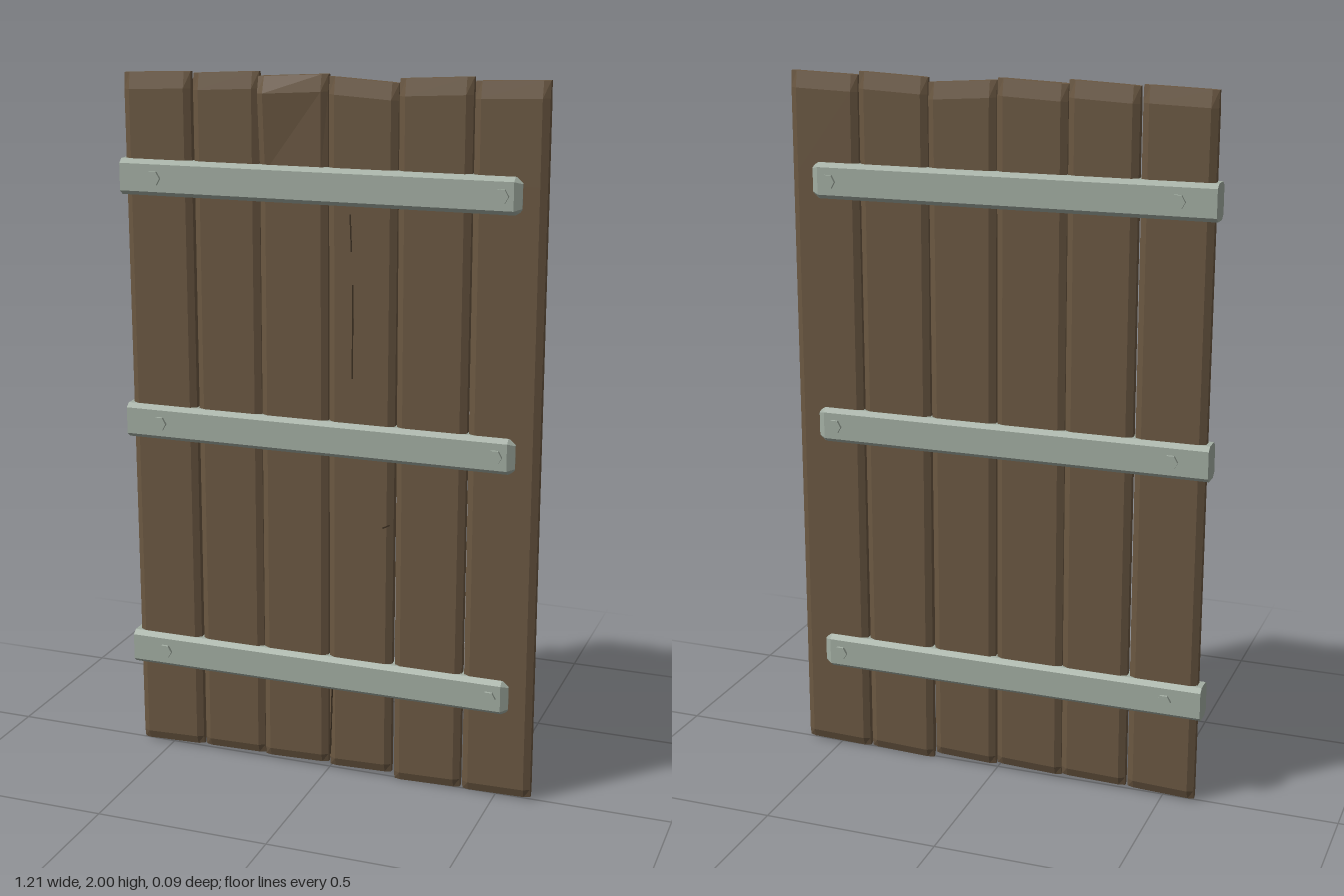
import * as THREE from 'three';

const wood = new THREE.MeshStandardMaterial({ color: 0x6b5842, flatShading: true });
const crackWood = new THREE.MeshStandardMaterial({ color: 0x3a2e20, flatShading: true });
const iron = new THREE.MeshStandardMaterial({ color: 0xa3aea3, flatShading: true });

// Chamfered rectangle, counter-clockwise, as [a, b] pairs
function octagon(w, t, cw, ct) {
  return [
    [w, -t + ct], [w, t - ct], [w - cw, t], [-w + cw, t],
    [-w, t - ct], [-w, -t + ct], [-w + cw, -t], [w - cw, -t],
  ];
}

// Skin a row of equal-length rings and cap both ends
function loft(rings) {
  const pos = [];
  const tri = (...pts) => pts.forEach((p) => pos.push(...p));
  const n = rings[0].length;
  for (let r = 0; r < rings.length - 1; r++) {
    const p = rings[r], q = rings[r + 1];
    for (let i = 0; i < n; i++) {
      const j = (i + 1) % n;
      tri(p[i], p[j], q[j]);
      tri(p[i], q[j], q[i]);
    }
  }
  const first = rings[0], last = rings[rings.length - 1];
  for (let i = 1; i < n - 1; i++) {
    tri(first[0], first[i + 1], first[i]);
    tri(last[0], last[i], last[i + 1]);
  }
  const g = new THREE.BufferGeometry();
  g.setAttribute('position', new THREE.Float32BufferAttribute(pos, 3));
  g.computeVertexNormals();
  return g;
}

// Upright board with worn ends; bulge pushes its upper front left corner forward
function plankGeometry({ bottom, top, y0, y1, bulge = 0 }) {
  const T = 0.02;
  // [height fraction from the nearer end, thickness, bulge amount]
  const rows = [
    [0, 0, 0.011, 0], [0, 0.025, T, 0], [0, 1.72, T, 0],
    [1, -0.045, T, 1], [1, 0, 0.011, 0.6],
  ];
  return loft(rows.map(([end, dy, t, k]) => {
    const f = end ? 1 : dy / 2;
    const xl = THREE.MathUtils.lerp(bottom[0], top[0], f);
    const xr = THREE.MathUtils.lerp(bottom[1], top[1], f);
    const w = (xr - xl) / 2, cx = (xl + xr) / 2;
    return octagon(w, t, 0.018, Math.min(0.01, t * 0.5)).map(([a, b]) => {
      const side = (a + w) / (2 * w);
      const ends = end ? y1 : y0;
      const y = THREE.MathUtils.lerp(ends[0], ends[1], side) + dy;
      const push = b < 0 ? bulge * k * (1 - side) : 0;
      return [cx + a, y, -b + push];
    });
  }));
}

// Iron bar along x, square at the hinge end and bevelled at the free end
function strapGeometry() {
  const rows = [[-0.608, 0.05, 0.036], [0.515, 0.05, 0.036], [0.535, 0.044, 0.022]];
  return loft(rows.map(([x, h, t]) =>
    octagon(h, t, 0.012, t * 0.4).map(([a, b]) => [x, a, b])));
}

export function createModel() {
  const model = new THREE.Group();
  model.name = 'plankDoor';
  const add = (parent, geometry, material, name) => {
    const mesh = new THREE.Mesh(geometry, material);
    mesh.name = name;
    parent.add(mesh);
    return mesh;
  };

  // Six uneven planks
  const planks = [
    { bottom: [-0.592, -0.398], top: [-0.598, -0.4], y0: [0.005, 0.012], y1: [1.985, 1.992] },
    { bottom: [-0.39, -0.2], top: [-0.392, -0.2], y0: [0.012, 0.016], y1: [1.988, 1.998] },
    { bottom: [-0.198, -0.002], top: [-0.198, -0.002], y0: [0.012, 0.018], y1: [1.986, 1.996], bulge: 0.018 },
    { bottom: [0.004, 0.19], top: [0, 0.194], y0: [0.012, 0.018], y1: [1.99, 1.978] },
    { bottom: [0.2, 0.396], top: [0.196, 0.396], y0: [0, 0.006], y1: [1.99, 2] },
    { bottom: [0.404, 0.602], top: [0.4, 0.597], y0: [0.004, 0.008], y1: [1.99, 1.997] },
  ];
  const boards = new THREE.Group();
  boards.name = 'planks';
  model.add(boards);
  planks.forEach((p, i) => add(boards, plankGeometry(p), wood, 'plank' + (i + 1)));

  // Hairline splits in the front: x, y, length, lean
  const cracks = [
    [0.072, 1.31, 0.26, 0], [0.066, 1.58, 0.1, 0.04], [0.172, 0.765, 0.022, -1.1],
    [0.012, 0.2, 0.3, -0.03],
  ];
  for (const [x, y, length, lean] of cracks) {
    const crack = add(boards, new THREE.BoxGeometry(0.004, length, 0.002), crackWood, 'crack');
    crack.position.set(x, y, 0.0195);
    crack.rotation.z = lean;
  }

  // Three iron straps, each with a pair of through bolts
  const strap = strapGeometry();
  const bolt = new THREE.CylinderGeometry(0.021, 0.021, 0.088, 6);
  bolt.rotateY(Math.PI / 6);
  bolt.rotateX(Math.PI / 2);
  for (const y of [0.305, 1.003, 1.702]) {
    const band = new THREE.Group();
    band.name = 'strapAssembly';
    band.position.y = y;
    model.add(band);
    add(band, strap, iron, 'strap');
    for (const x of [-0.505, 0.482]) add(band, bolt, iron, 'bolt').position.x = x;
  }
  return model;
}
